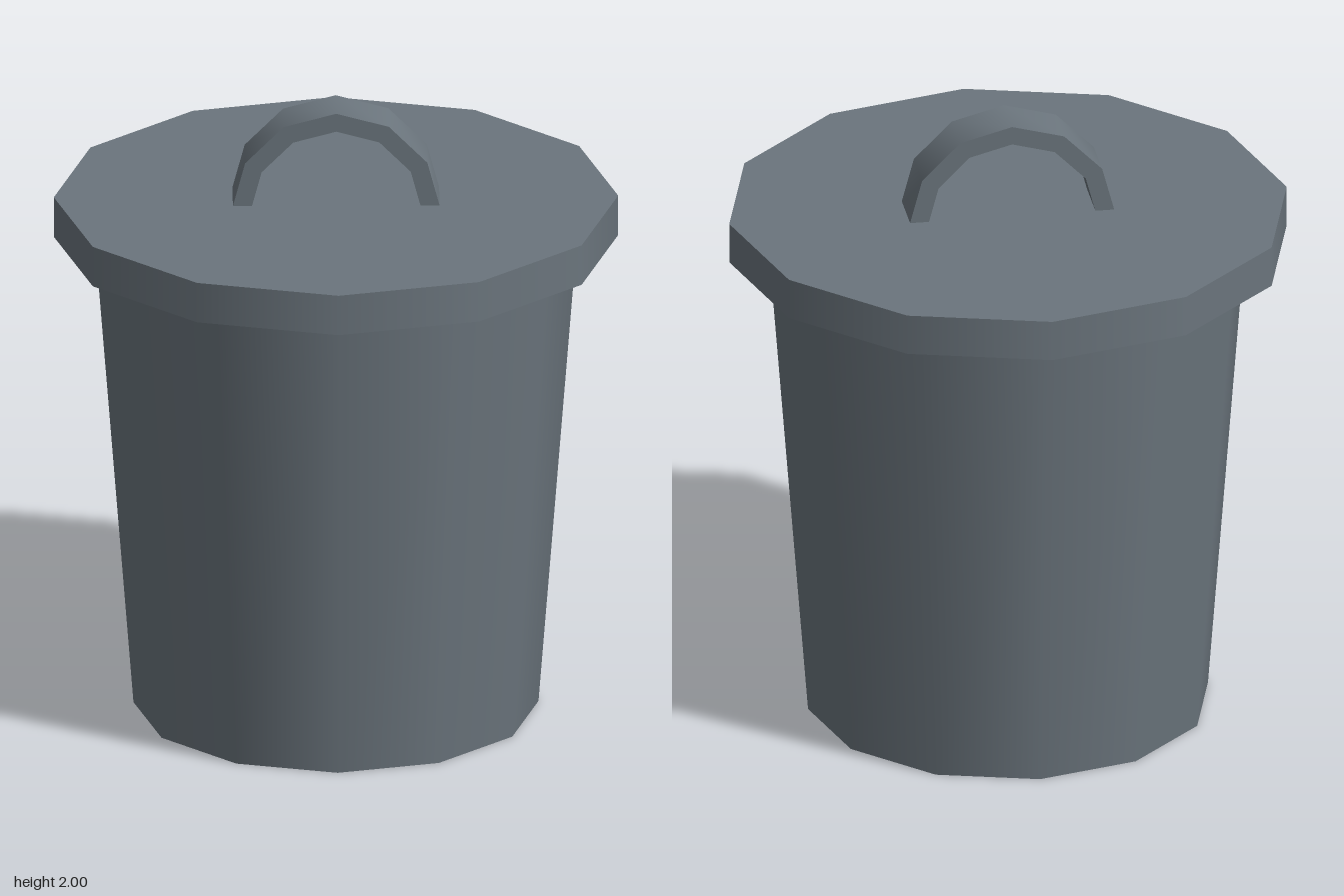
import * as THREE from 'three';
import { toCreasedNormals } from 'three/addons/utils/BufferGeometryUtils.js';

const SIDES = 12;

export function createModel() {
  const model = new THREE.Group();
  model.name = 'trashCan';
  const metal = new THREE.MeshStandardMaterial({ color: 0x6b757d });
  metal.name = 'greyMetal';

  const add = (name, geometry, y = 0) => {
    const mesh = new THREE.Mesh(geometry, metal);
    mesh.name = name;
    mesh.position.y = y;
    model.add(mesh);
  };

  // Tapered bin, smooth around its twelve sides
  const bodyHeight = 1.56;
  add('body', new THREE.CylinderGeometry(0.757, 0.635, bodyHeight, SIDES), bodyHeight / 2);

  // Overhanging flat lid
  const lidHeight = 0.132;
  add('lid', new THREE.CylinderGeometry(0.885, 0.885, lidHeight, SIDES), bodyHeight + lidHeight / 2);

  // Half-ring handle with its feet sunk slightly into the lid
  const arc = (radius) => Array.from({ length: 7 }, (_, i) => {
    const a = (i * Math.PI) / 6;
    return new THREE.Vector2(radius * Math.cos(a), radius * Math.sin(a));
  });
  const profile = new THREE.Shape([...arc(0.33), ...arc(0.27).reverse()]);
  const width = 0.166;
  const handle = new THREE.ExtrudeGeometry(profile, { depth: width, bevelEnabled: false });
  handle.translate(0, 0, -width / 2);
  add('handle', toCreasedNormals(handle, Math.PI / 4), 1.67);

  return model;
}
